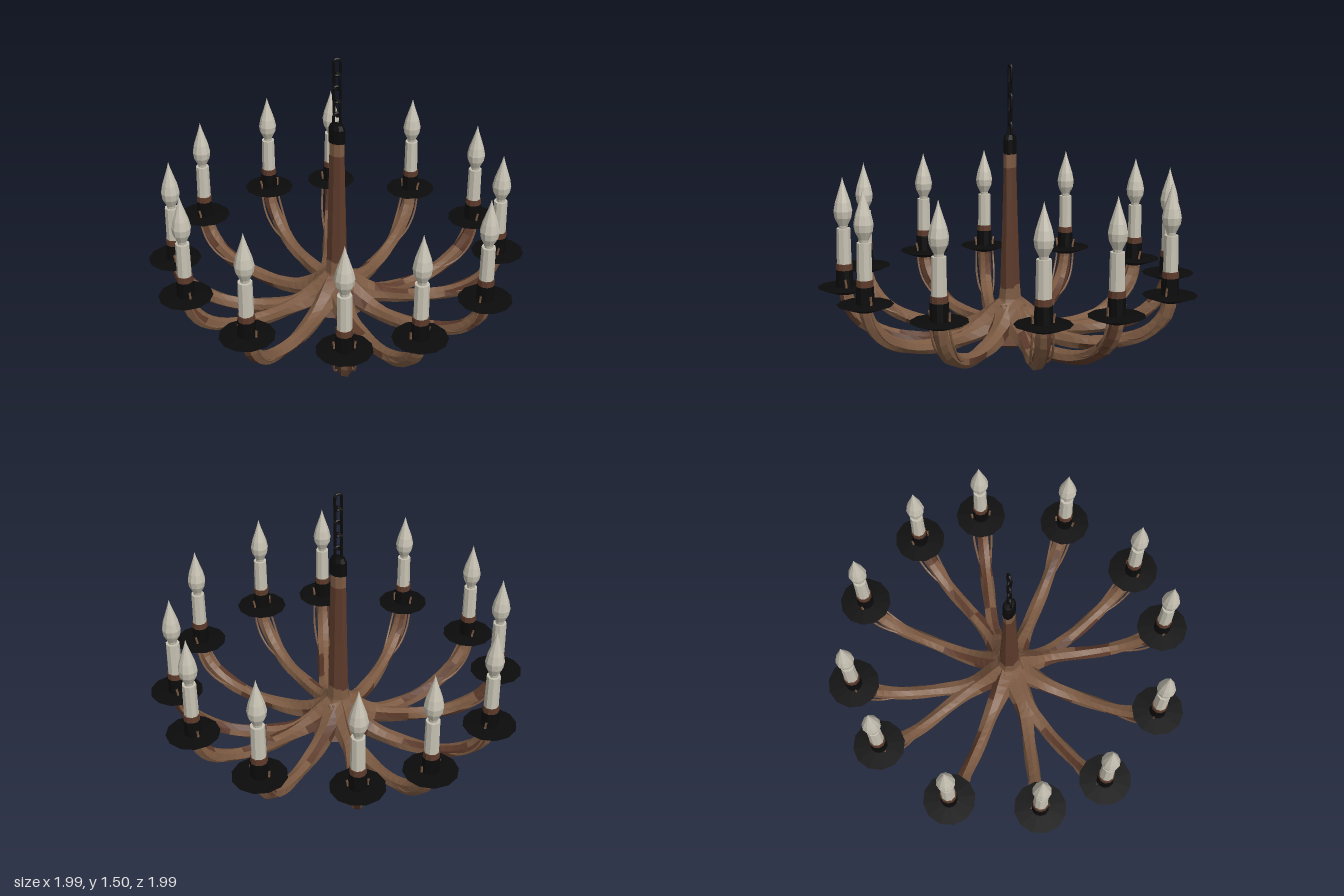
import * as THREE from 'three';

const mat = (name, color, extra = {}) => {
  const m = new THREE.MeshStandardMaterial({ color, flatShading: true, ...extra });
  m.name = name;
  return m;
};

const v2 = (pts) => pts.map(([x, y]) => new THREE.Vector2(x, y));

export function createModel() {
  const wood = mat('light wood', 0x7c5a42);
  const darkWood = mat('dark wood', 0x5c3a2a);
  const iron = mat('black iron', 0x0b0b0b);
  const wax = mat('ivory candle', 0xc6c1b2);

  let seed = 7;
  const rand = () => (seed = (seed * 16807) % 2147483647) / 2147483647;

  const root = new THREE.Group();
  root.name = 'chandelier';

  const add = (parent, name, geo, material, x = 0, y = 0, z = 0) => {
    const m = new THREE.Mesh(geo, material);
    m.name = name;
    m.position.set(x, y, z);
    parent.add(m);
    return m;
  };
  const lathe = (pts, sides) => {
    const g = new THREE.LatheGeometry(v2(pts), sides).toNonIndexed();
    g.computeVertexNormals();
    return g;
  };

  // Tapered, faceted branch: a tube whose rings are rescaled along its length
  const branch = (curve, radii, segs, sides, rough) => {
    const g = new THREE.TubeGeometry(curve, segs, 1, sides, false);
    const pos = g.attributes.position;
    const p = new THREE.Vector3(), c = new THREE.Vector3();
    for (let j = 0; j <= segs; j++) {
      const t = (j / segs) * (radii.length - 1);
      const k = Math.min(Math.floor(t), radii.length - 2);
      const r = THREE.MathUtils.lerp(radii[k], radii[k + 1], t - k);
      curve.getPointAt(j / segs, c);
      for (let i = 0; i <= sides; i++) {
        const n = j * (sides + 1) + i;
        const wobble = 1 + rough * Math.sin(i % sides * 2.4 + j * 0.8);
        p.fromBufferAttribute(pos, n).sub(c).multiplyScalar(r * wobble).add(c);
        pos.setXYZ(n, p.x, p.y, p.z);
      }
    }
    // Long bark patches alternate between the two wood tones
    const tones = [];
    for (let j = 0; j < segs; j++) {
      for (let i = 0; i < sides; i++) {
        if (j % 4 === 0) tones[i] = rand() < 0.22 ? 1 : 0;
        g.addGroup((j * sides + i) * 6, 6, tones[i]);
      }
    }
    const flat = g.toNonIndexed();
    flat.computeVertexNormals();
    return flat;
  };

  // Central post, flattened front to back toward the top
  const postGeo = new THREE.CylinderGeometry(0.045, 0.058, 0.68, 8, 4);
  const pp = postGeo.attributes.position;
  for (let i = 0; i < pp.count; i++) {
    const t = pp.getY(i) / 0.68 + 0.5;
    pp.setZ(i, pp.getZ(i) * THREE.MathUtils.lerp(1, 0.7, t));
  }
  add(root, 'post', postGeo, darkWood, 0, 0.63, 0);
  add(root, 'postCollar', new THREE.CylinderGeometry(0.045, 0.045, 0.08, 8), wood, 0, 1.005, 0).scale.z = 0.7;
  add(root, 'postCap', lathe([[0, -0.05], [0.047, -0.05], [0.047, 0.025], [0.036, 0.05], [0, 0.052]], 10),
    iron, 0, 1.09, 0).scale.z = 0.68;

  // Flared hub and pointed finial
  add(root, 'hub', lathe([[0, 0.06], [0.11, 0.06], [0.12, 0.13], [0.09, 0.21], [0.062, 0.28], [0.053, 0.38], [0, 0.39]], 8), wood);
  add(root, 'finial', lathe([[0, 0], [0.145, 0.052], [0.09, 0.085], [0, 0.09]], 8), darkWood);

  // Hanging chain of stadium shaped links
  class LinkCurve extends THREE.Curve {
    getPoint(t, out = new THREE.Vector3()) {
      const a = t * Math.PI * 2;
      return out.set(Math.cos(a) * 0.018, Math.sin(a) * 0.018 + Math.tanh(Math.sin(a) * 4) * 0.027, 0);
    }
  }
  const linkGeo = new THREE.TubeGeometry(new LinkCurve(), 20, 0.0075, 6, true);
  const chain = new THREE.Group();
  chain.name = 'chain';
  root.add(chain);
  for (let i = 0; i < 5; i++) {
    add(chain, 'chainLink', linkGeo, iron, 0, 1.45 - i * 0.073, 0).rotation.y = i % 2 ? 0 : Math.PI / 4;
  }

  // Shared candle geometry
  const panGeo = lathe([[0, 0.342], [0.05, 0.342], [0.139, 0.375], [0.05, 0.378], [0, 0.378]], 12);
  const cupGeo = new THREE.CylinderGeometry(0.044, 0.046, 0.1, 10);
  const ringGeo = new THREE.CylinderGeometry(0.042, 0.043, 0.035, 10);
  const candleGeo = new THREE.CylinderGeometry(0.036, 0.038, 0.185, 9);
  const bulbGeo = lathe([[0, 0.675], [0.022, 0.68], [0.024, 0.695], [0.044, 0.735], [0.049, 0.77],
    [0.04, 0.815], [0.022, 0.87], [0.009, 0.91], [0, 0.945]], 10);

  // Arm: radial distance and height of the centre line
  const profile = [[0.02, 0.21], [0.12, 0.145], [0.24, 0.098], [0.4, 0.082], [0.57, 0.1], [0.7, 0.145],
    [0.79, 0.21], [0.845, 0.29], [0.86, 0.37]];

  const makeArm = (deg, trunkDeg) => {
    const arm = new THREE.Group();
    arm.name = 'arm';
    root.add(arm);
    const end = THREE.MathUtils.degToRad(deg), start = THREE.MathUtils.degToRad(trunkDeg);
    // Paired arms follow a common trunk, then fork straight to their candle
    const fork = new THREE.Vector2(Math.cos(start), Math.sin(start)).multiplyScalar(0.27);
    const tip = new THREE.Vector2(Math.cos(end), Math.sin(end)).multiplyScalar(0.86);
    const plan = (r) => r < 0.27 ? fork.clone().multiplyScalar(r / 0.27)
      : fork.clone().lerp(tip, (r - 0.27) / 0.59);
    const at = (r, y, side = 0) => {
      const q = plan(r);
      return new THREE.Vector3(q.x - Math.sin(end) * side, y, q.y + Math.cos(end) * side);
    };
    const curve = new THREE.CatmullRomCurve3(profile.map(([r, y]) => at(r, y)));
    add(arm, 'branch', branch(curve, [0.08, 0.056, 0.042, 0.037, 0.036, 0.037, 0.037, 0.035], 20, 7, 0.1),
      [wood, darkWood]);

    // Thin tendrils leaving the bark and rising through the pan
    for (const s of [-1, 1]) {
      const tendril = new THREE.CatmullRomCurve3([
        at(0.62, 0.12, s * 0.02), at(0.73, 0.155, s * 0.042), at(0.81, 0.23, s * 0.052),
        at(0.85, 0.32, s * 0.05), at(0.855, 0.4, s * 0.049), at(0.86, 0.425, s * 0.054)]);
      add(arm, 'tendril', new THREE.TubeGeometry(tendril, 12, 0.006, 5), wood);
    }

    // Drip pan, cup, candle and flame shaped bulb
    const light = new THREE.Group();
    light.name = 'candleLight';
    light.position.set(tip.x, 0, tip.y);
    light.rotation.y = rand() * 6;
    arm.add(light);
    add(light, 'dripPan', panGeo, iron);
    add(light, 'cup', cupGeo, iron, 0, 0.415, 0);
    add(light, 'cupRing', ringGeo, darkWood, 0, 0.48, 0);
    add(light, 'candle', candleGeo, wax, 0, 0.588, 0);
    add(light, 'bulb', bulbGeo, wax);
  };

  // Four straight arms and four forked pairs
  for (let q = 0; q < 4; q++) {
    makeArm(q * 90, q * 90);
    makeArm(q * 90 + 32.4, q * 90 + 42);
    makeArm(q * 90 + 57.6, q * 90 + 48);
  }
  return root;
}
